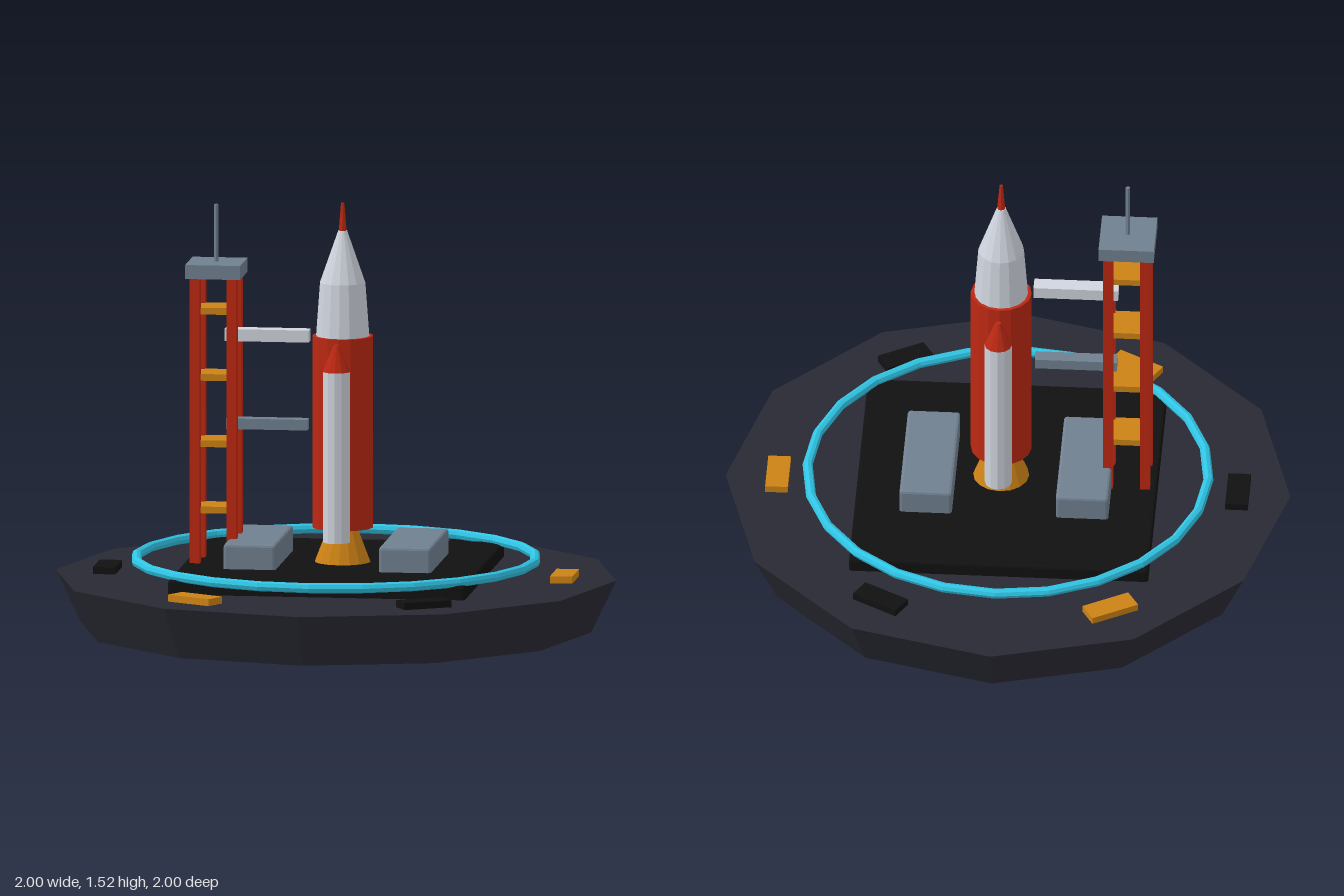
import * as THREE from 'three';
import { RoundedBoxGeometry } from 'three/addons/geometries/RoundedBoxGeometry.js';

const paint = (name, color) => {
  const m = new THREE.MeshStandardMaterial({ color });
  m.name = name;
  m.flatShading = true;
  return m;
};

export function createModel() {
  const navy = paint('dark navy', 0x292934);
  const black = paint('black', 0x111111);
  const slate = paint('slate grey', 0x708090);
  const gold = paint('amber', 0xcc8215);
  const red = paint('rust red', 0xbc2812);
  const cyan = paint('cyan', 0x30c4e4);
  const white = paint('pale grey', 0xd0d5de);

  const model = new THREE.Group();
  model.name = 'launchPad';

  const add = (parent, name, geometry, material, x = 0, y = 0, z = 0) => {
    const mesh = new THREE.Mesh(geometry, material);
    mesh.name = name;
    mesh.position.set(x, y, z);
    parent.add(mesh);
    return mesh;
  };
  const group = (name, x = 0, z = 0) => {
    const g = new THREE.Group();
    g.name = name;
    g.position.set(x, 0, z);
    model.add(g);
    return g;
  };
  // Box and round section placed by their bottom and top heights
  const box = (parent, name, mat, w, d, y0, y1, x = 0, z = 0) =>
    add(parent, name, new THREE.BoxGeometry(w, y1 - y0, d), mat, x, (y0 + y1) / 2, z);
  const round = (parent, name, mat, r0, r1, y0, y1, sides, x = 0, z = 0) =>
    add(parent, name, new THREE.CylinderGeometry(r1, r0, y1 - y0, sides), mat, x, (y0 + y1) / 2, z);

  // Twelve-sided base, square deck and glowing ring
  round(model, 'base', navy, 0.91, 1, 0, 0.187, 12);
  add(model, 'deck', new RoundedBoxGeometry(1.06, 0.06, 1.06, 1, 0.01), black, 0, 0.207, 0);
  const ring = add(model, 'ring', new THREE.TorusGeometry(0.71, 0.018, 8, 24), cyan, 0, 0.247, 0);
  ring.rotation.x = Math.PI / 2;

  // Alternating blocks around the rim
  for (let i = 0; i < 6; i++) {
    const a = (i * Math.PI) / 3;
    const block = box(model, 'rimBlock', i % 2 ? black : gold, 0.08, 0.18, 0.175, 0.212,
      Math.cos(a) * 0.815, Math.sin(a) * 0.815);
    block.rotation.y = -a;
  }

  // Support blocks either side of the rocket
  for (const s of [-1, 1])
    add(model, 'supportBlock', new RoundedBoxGeometry(0.186, 0.1, 0.48, 1, 0.01), slate, s * 0.277, 0.276, 0);

  // Rocket
  const rocket = group('rocket', 0.024);
  round(rocket, 'nozzle', gold, 0.1, 0.05, 0.235, 0.365, 16);
  round(rocket, 'coreStage', red, 0.108, 0.108, 0.36, 1.045, 16);
  round(rocket, 'upperStage', white, 0.095, 0.081, 1.045, 1.235, 16);
  round(rocket, 'noseCone', white, 0.081, 0.016, 1.235, 1.42, 16);
  round(rocket, 'noseTip', red, 0.014, 0.006, 1.42, 1.52, 8);
  for (const s of [-1, 1]) {
    round(rocket, 'booster', white, 0.048, 0.048, 0.33, 0.94, 12, 0, s * 0.165);
    round(rocket, 'boosterNose', red, 0.049, 0.01, 0.94, 1.035, 12, 0, s * 0.165);
  }

  // Service tower
  const tower = group('serviceTower', -0.423, 0.03);
  for (const sx of [-1, 1])
    for (const sz of [-1, 1])
      box(tower, 'towerLeg', red, 0.036, 0.036, 0.235, 1.257, sx * 0.0655, sz * 0.069);
  for (let i = 0; i < 4; i++) {
    const y = 0.425 + i * 0.237;
    box(tower, 'towerFloor', gold, 0.13, 0.13, y - 0.012, y + 0.012);
  }
  box(tower, 'towerCap', slate, 0.196, 0.2, 1.255, 1.305);
  round(tower, 'mast', slate, 0.008, 0.008, 1.305, 1.51, 8);

  // Arms reaching to the rocket
  box(tower, 'upperArm', white, 0.3, 0.056, 1.025, 1.068, 0.183);
  box(tower, 'lowerArm', slate, 0.29, 0.05, 0.71, 0.748, 0.183);

  return model;
}
